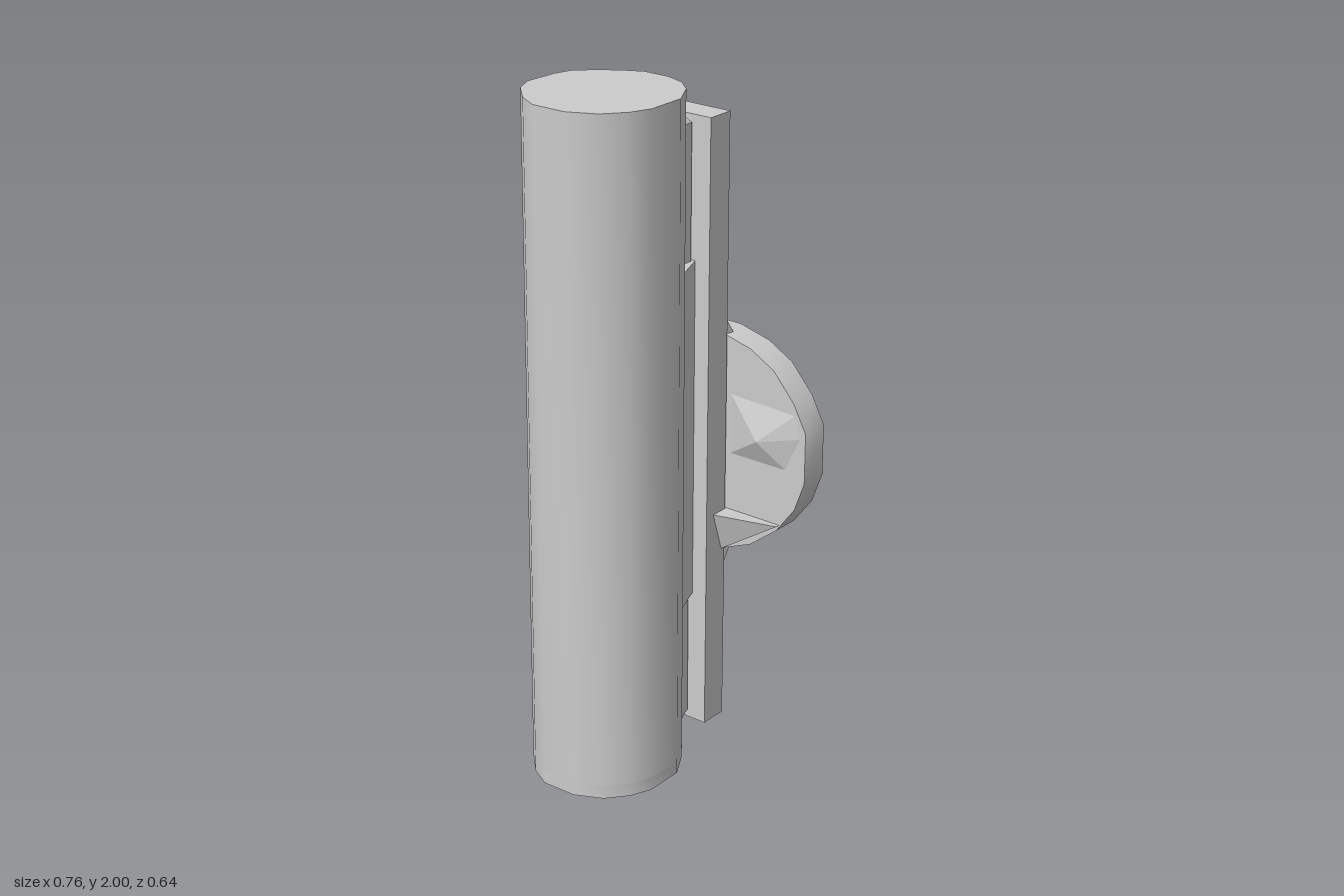
import * as THREE from 'three';
import { toCreasedNormals } from 'three/addons/utils/BufferGeometryUtils.js';
import { ConvexGeometry } from 'three/addons/geometries/ConvexGeometry.js';

const smooth = new THREE.MeshStandardMaterial({ color: 0xcccccc });
const flat = new THREE.MeshStandardMaterial({ color: 0xcccccc, flatShading: true });

function mesh(name, geometry, material = flat) {
  const m = new THREE.Mesh(geometry, material);
  m.name = name;
  return m;
}

const extrude = (shape, depth) => new THREE.ExtrudeGeometry(shape, { depth, bevelEnabled: false });

// Upright prism from a plan outline of [x, z] points, with an optional hole
function upright(points, y0, y1, hole) {
  const toVec = ([x, z]) => new THREE.Vector2(x, -z);
  const shape = new THREE.Shape(points.map(toVec));
  if (hole) shape.holes.push(new THREE.Path(hole.map(toVec)));
  const g = extrude(shape, y1 - y0).rotateX(-Math.PI / 2).translate(0, y0, 0);
  return toCreasedNormals(g, 0.6);
}

// Convex solid through a handful of corners
const hull = (points) => new ConvexGeometry(points.map((p) => new THREE.Vector3(...p)));

// Rectangle of corners at height y
const rectY = (x0, x1, z0, z1, y) => [[x0, y, z0], [x1, y, z0], [x1, y, z1], [x0, y, z1]];

export function createModel() {
  const group = new THREE.Group();

  // Long faceted tube with a shallow recess in its underside
  const outline = [
    [-0.105, 0.32], [0, 0.318], [0.08, 0.28], [0.13, 0.22], [0.155, 0.16], [0.155, 0.04],
    [0.11, -0.04], [0.06, -0.085], [0, -0.105], [-0.08, -0.105], [-0.13, -0.08], [-0.19, -0.04],
    [-0.24, 0.01], [-0.255, 0.06], [-0.262, 0.16], [-0.235, 0.22], [-0.17, 0.285],
  ];
  const recess = outline.map(([x, z]) => [-0.055 + (x + 0.055) * 0.78, 0.108 + (z - 0.108) * 0.78]);
  group.add(mesh('tubeBody', upright(outline, 0.04, 2), smooth));
  group.add(mesh('tubeRim', upright(outline, 0, 0.04, recess), smooth));

  // Tapered spine along the back of the tube
  group.add(mesh('spine', hull([
    ...rectY(-0.1, 0.03, -0.1, 0, 0.02),
    ...rectY(-0.12, 0.06, -0.13, 0, 0.1),
    ...rectY(-0.12, 0.06, -0.13, 0, 1.88),
    ...rectY(-0.1, 0.03, -0.1, 0, 1.92),
  ])));

  // Broad neck joining the tube to the mounting bar
  group.add(mesh('neck', upright(
    [[-0.2, -0.03], [0.11, -0.03], [0.065, -0.145], [-0.195, -0.145]], 0.48, 1.49)));

  // Flat mounting bar
  const bar = mesh('mountingBar', new THREE.BoxGeometry(0.31, 1.83, 0.085));
  bar.position.set(-0.04, 0.985, -0.183);
  group.add(bar);

  // Rounded wall plate, flattened at its four extremes
  const plate = new THREE.Shape([
    [0.382, 0.88], [0.382, 1.03], [0.34, 1.11], [0.27, 1.19], [0.19, 1.235], [0.09, 1.26],
    [-0.09, 1.26], [-0.2, 1.225], [-0.28, 1.17], [-0.345, 1.08], [-0.383, 1.01], [-0.383, 0.88],
    [-0.35, 0.79], [-0.29, 0.715], [-0.2, 0.645], [-0.09, 0.595], [0.09, 0.595], [0.2, 0.64],
    [0.29, 0.71], [0.35, 0.79],
  ].map(([x, y]) => new THREE.Vector2(x, y)));
  const plateGeo = extrude(plate, 0.087).translate(0, 0, -0.32);
  group.add(mesh('wallPlate', toCreasedNormals(plateGeo, 0.6), smooth));

  // Flared bracket between the bar and the plate
  group.add(mesh('bracket', hull([
    [-0.19, 1.33, -0.22], [0.1, 1.33, -0.22],
    [-0.2, 1.23, -0.28], [0.11, 1.23, -0.28],
    [-0.19, 0.51, -0.22], [0.1, 0.51, -0.22],
    [-0.2, 0.64, -0.28], [0.11, 0.64, -0.28],
  ])));

  // Sloping web on the right of the bracket
  group.add(mesh('sideWeb', hull([
    [-0.19, 1.15, -0.145], [-0.19, 0.7, -0.145],
    [-0.265, 1.12, -0.24], [-0.265, 0.74, -0.24],
    [-0.19, 1.15, -0.24], [-0.19, 0.7, -0.24],
  ])));

  // Faceted boss on the plate's left half
  group.add(mesh('boss', hull([
    [0.24, 0.98, -0.198], [0.12, 1.09, -0.235], [0.35, 1.08, -0.235],
    [0.37, 1.01, -0.235], [0.32, 0.9, -0.235], [0.12, 0.9, -0.235],
  ])));

  // Wedge under the boss, along the plate's lower edge
  group.add(mesh('lowerWedge', hull([
    [0.09, 0.73, -0.165], [0.3, 0.73, -0.22], [0.3, 0.73, -0.3],
    [0.1, 0.6, -0.21], [0.1, 0.6, -0.3], [0.09, 0.73, -0.3],
  ])));

  return group;
}
